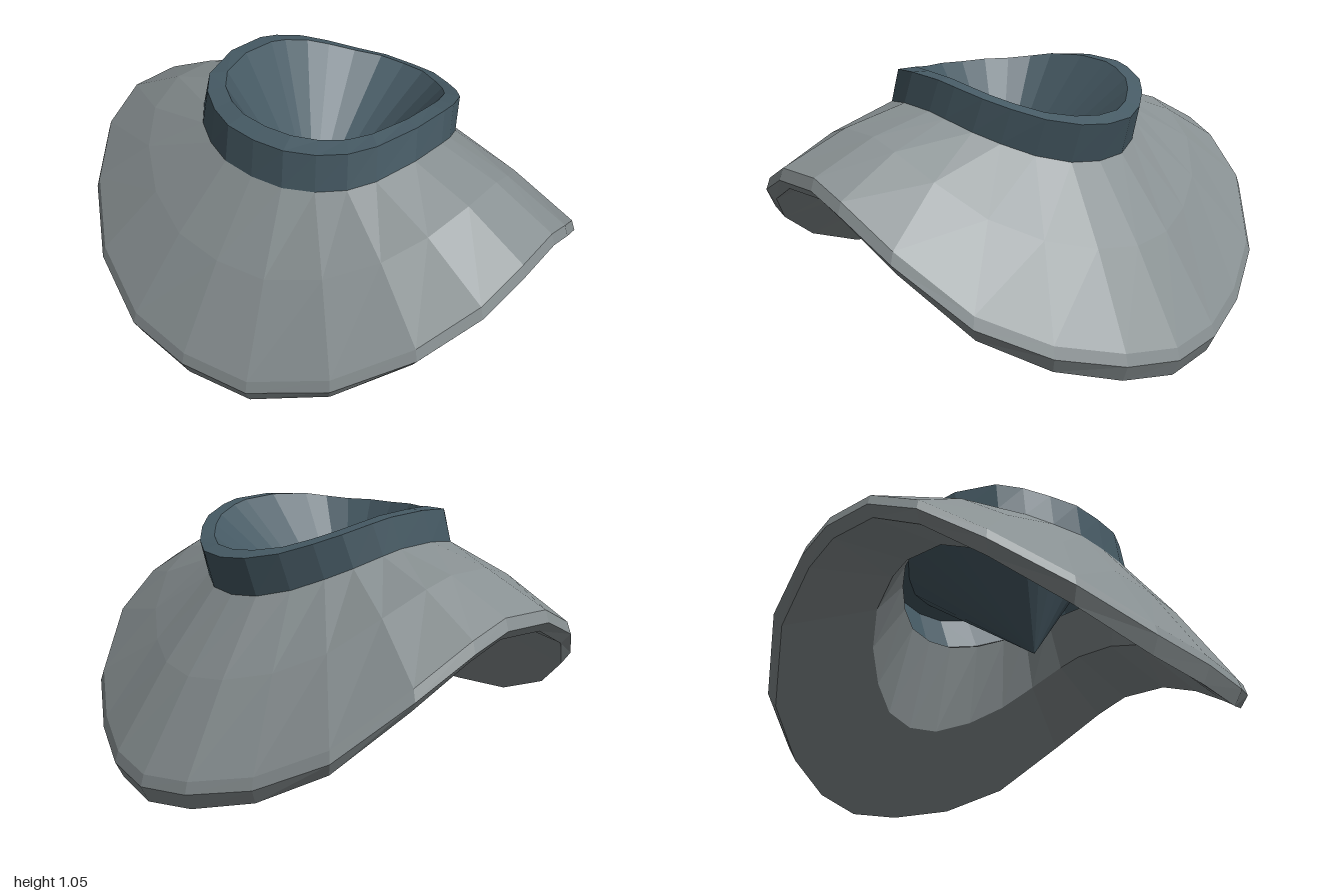
import * as THREE from 'three';

const capeGrey = new THREE.MeshStandardMaterial({ color: 0x889092, flatShading: true, side: THREE.DoubleSide });
capeGrey.name = 'capeGrey';
const collarBlue = new THREE.MeshStandardMaterial({ color: 0x465a64, flatShading: true, side: THREE.DoubleSide });
collarBlue.name = 'collarBlue';

// Half outlines from the back, round the left side, to the front
const rimHalf = [
  [0, 0.07, -0.92], [0.23, 0.095, -0.885], [0.48, 0.155, -0.78], [0.72, 0.28, -0.64],
  [0.9, 0.49, -0.42], [0.97, 0.63, -0.2], [0.99, 0.69, -0.05], [1, 0.69, 0.17],
  [0.96, 0.61, 0.37], [0.83, 0.48, 0.57], [0.6, 0.335, 0.765], [0.3, 0.23, 0.885], [0, 0.215, 0.915],
];
const neckHalf = [
  [0, 0.735, -0.48], [0.13, 0.745, -0.465], [0.25, 0.775, -0.4], [0.35, 0.82, -0.32],
  [0.42, 0.86, -0.24], [0.465, 0.9, -0.13], [0.48, 0.92, -0.05], [0.48, 0.93, 0.12],
  [0.43, 0.91, 0.29], [0.36, 0.885, 0.37], [0.26, 0.865, 0.43], [0.14, 0.855, 0.475], [0, 0.85, 0.485],
];

// Mirror a half outline into a closed ring
const closeRing = (half) => [...half, ...half.slice(1, -1).reverse().map(([x, y, z]) => [-x, y, z])];

// Skin a list of equal-length rings
function loft(rings) {
  const n = rings[0].length;
  const index = [];
  for (let r = 0; r < rings.length - 1; r++) {
    for (let i = 0; i < n; i++) {
      const j = (i + 1) % n;
      const a = r * n + i, b = r * n + j, c = (r + 1) * n + j, d = (r + 1) * n + i;
      index.push(a, b, c, a, c, d);
    }
  }
  const geometry = new THREE.BufferGeometry();
  geometry.setAttribute('position', new THREE.Float32BufferAttribute(rings.flat(2), 3));
  geometry.setIndex(index);
  geometry.computeVertexNormals();
  return geometry;
}

function addPart(group, name, rings, material) {
  const mesh = new THREE.Mesh(loft(rings), material);
  mesh.name = name;
  group.add(mesh);
}

export function createModel() {
  const group = new THREE.Group();
  group.name = 'collaredCape';
  const rim = closeRing(rimHalf);
  const neck = closeRing(neckHalf);
  const between = (from, to, t, lift) => from.map((p, i) => {
    const q = p.map((v, k) => v + (to[i][k] - v) * t);
    q[1] += lift(q[2]);
    return q;
  });

  // Cape: upper skin, rounded rim and thick underside
  const rimTop = rim.map(([x, y, z]) => [x * 0.985, y + 0.045, z * 0.985]);
  const rimBottom = rim.map(([x, y, z]) => [x * 0.965, y - 0.035 - 0.03 * (z / 0.9) ** 2, z * 0.965]);
  const upper = between(neck, rimTop, 0.5, () => 0.025);
  const crease = between(rimBottom, neck, 0.8, (z) => -0.13 - 0.12 * (z / 0.55) ** 2);
  const opening = neck.map(([x, y, z]) => [x * 0.96, y - 0.01, z * 0.96]);
  addPart(group, 'cape', [neck, upper, rimTop, rim, rimBottom, crease, opening], capeGrey);

  // Collar: standing band with a thick top edge
  const top = neck.map(([x, y, z]) => [x * 0.96, y + 0.12 + 0.03 * (z / 0.48) ** 2, z * 1.03 - 0.035]);
  const inner = neck.map(([x, , z], i) => [x * 0.83, top[i][1] + 0.025 * (z / 0.48) ** 2, z * 0.9 - 0.04]);
  addPart(group, 'collar', [inner, top, neck], collarBlue);

  // Neck socket: pointed funnel inside the collar
  const apex = neck.map(() => [0, 0.49, 0.13]);
  addPart(group, 'neckSocket', [apex, inner], collarBlue);

  return group;
}
